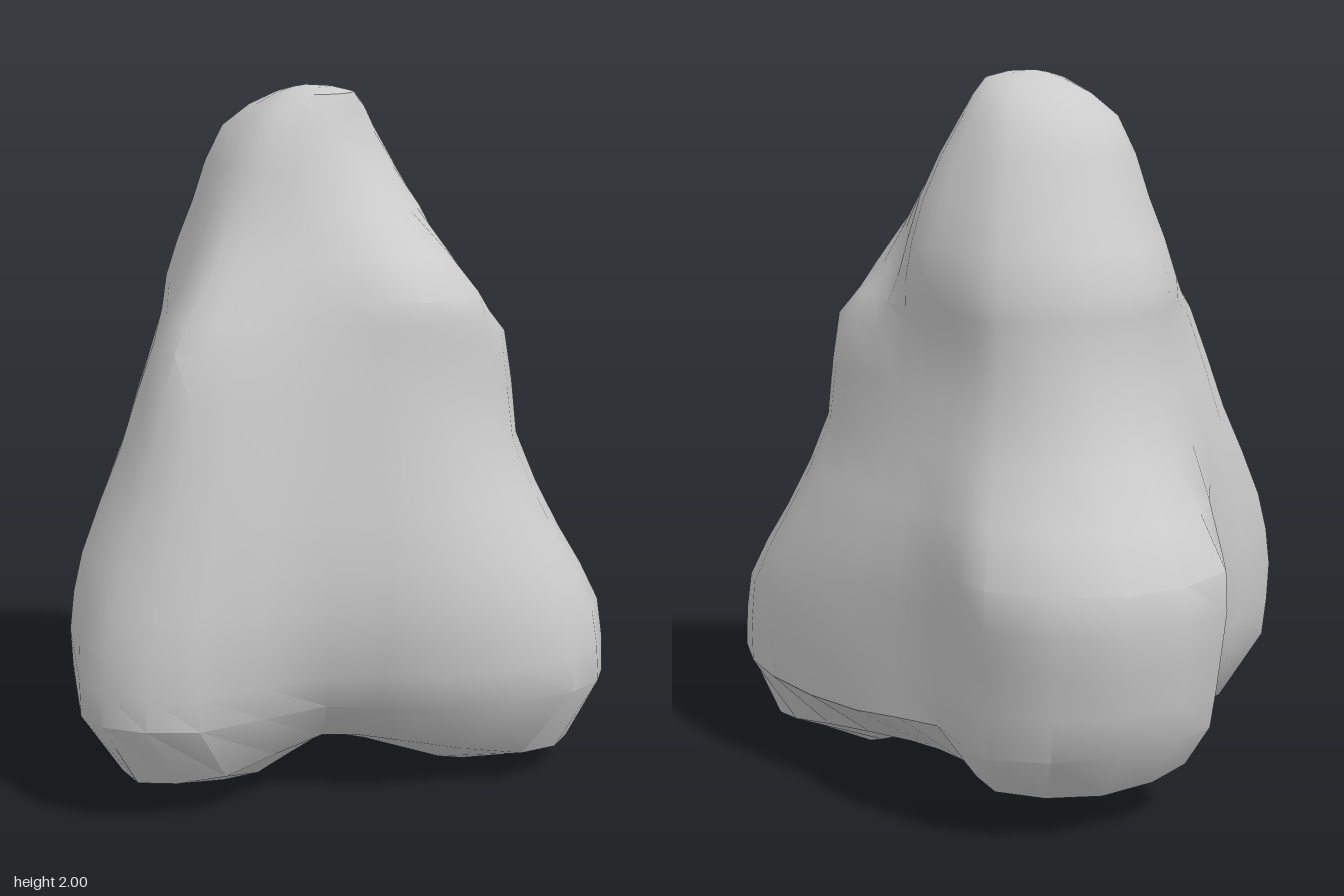
import * as THREE from 'three';
import { toCreasedNormals } from 'three/addons/utils/BufferGeometryUtils.js';

// The boulder is a stack of rings around an upright axis at x = AXIS.
// Directions run from the right valley past the front lobe (42 to 76),
// the left lobe (168 to 205) and the back lobe (272 to 323).
const AXIS = 0.12;
const ANGLES = [-20, 10, 42, 57, 76, 105, 138, 168, 186, 205, 243, 272, 297, 323];
const SIDES = 2 * ANGLES.length;

// Underside, sloping from the rim in to the centre; the front lobe stands on the ground
const underside = [
  { y: [0.12, 0.1, 0.06, 0, 0.04, 0.11, 0.12, 0.06, 0.045, 0.05, 0.09, 0.12, 0.12, 0.12],
    r: [0.25, 0.26, 0.36, 0.48, 0.4, 0.24, 0.2, 0.38, 0.5, 0.42, 0.24, 0.4, 0.42, 0.38] },
  { y: [0.12, 0.12, 0.1, 0.07, 0.09, 0.15, 0.16, 0.12, 0.1, 0.1, 0.12, 0.14, 0.11, 0.11],
    r: [0.42, 0.4, 0.58, 0.76, 0.66, 0.4, 0.3, 0.58, 0.72, 0.62, 0.36, 0.64, 0.66, 0.6] },
];

const body = [
  // rim
  { y: [0.27, 0.25, 0.25, 0.28, 0.3, 0.28, 0.3, 0.3, 0.3, 0.28, 0.27, 0.27, 0.27, 0.25],
    r: [0.57, 0.58, 0.74, 0.86, 0.81, 0.56, 0.45, 0.73, 0.85, 0.76, 0.5, 0.73, 0.8, 0.73] },
  // lobes
  { y: 0.5, r: [0.58, 0.585, 0.74, 0.84, 0.79, 0.61, 0.52, 0.73, 0.83, 0.78, 0.55, 0.77, 0.85, 0.75] },
  { y: 0.72, r: [0.585, 0.56, 0.66, 0.72, 0.7, 0.6, 0.53, 0.68, 0.76, 0.74, 0.55, 0.78, 0.85, 0.76] },
  // waist
  { y: 1.0, r: [0.5, 0.46, 0.53, 0.59, 0.57, 0.54, 0.49, 0.59, 0.66, 0.62, 0.53, 0.58, 0.63, 0.57] },
  { y: 1.3, r: [0.43, 0.4, 0.48, 0.55, 0.53, 0.5, 0.43, 0.48, 0.56, 0.51, 0.45, 0.5, 0.53, 0.5] },
  // shoulder ledge
  { y: 1.44, r: [0.44, 0.4, 0.37, 0.42, 0.5, 0.49, 0.38, 0.4, 0.46, 0.43, 0.44, 0.5, 0.52, 0.49] },
  // peak
  { y: 1.66, r: [0.37, 0.34, 0.29, 0.3, 0.29, 0.27, 0.25, 0.27, 0.31, 0.33, 0.36, 0.39, 0.41, 0.4] },
  { y: 1.88, r: [0.25, 0.21, 0.17, 0.15, 0.14, 0.14, 0.16, 0.19, 0.22, 0.23, 0.27, 0.3, 0.3, 0.28] },
  { y: 1.98, r: ANGLES.map(() => 0.11) },
];

// Closed smooth curve through one ring
function ringCurve({ y, r }) {
  const points = ANGLES.map((angle, k) => {
    const a = THREE.MathUtils.degToRad(angle);
    const height = Array.isArray(y) ? y[k] : y;
    return new THREE.Vector3(AXIS + r[k] * Math.cos(a), height, r[k] * Math.sin(a));
  });
  return new THREE.CatmullRomCurve3(points, true);
}

function boulderGeometry() {
  const underCurves = underside.map(ringCurve);
  const bodyCurves = body.map(ringCurve);
  const bottom = new THREE.Vector3(AXIS, 0.13, 0);
  const top = new THREE.Vector3(0.1, 2, -0.02);
  const position = [], index = [];

  // Upright profiles: straight under the rim, smooth from the rim to the peak
  const perProfile = 1 + underside.length + 2 * body.length + 1;
  for (let i = 0; i < SIDES; i++) {
    const at = curve => curve.getPoint(i / SIDES);
    const flank = new THREE.CatmullRomCurve3([...bodyCurves.map(at), top]);
    for (const p of [bottom, ...underCurves.map(at), ...flank.getPoints(2 * body.length)]) {
      position.push(p.x, Math.max(0, p.y), p.z);
    }
  }

  // Skin between neighbouring profiles, with single triangles at both ends
  const last = perProfile - 2;
  for (let i = 0; i < SIDES; i++) {
    for (let j = 0; j <= last; j++) {
      const a = i * perProfile + j;
      const b = ((i + 1) % SIDES) * perProfile + j;
      if (j < last) index.push(a, a + 1, b + 1);
      if (j > 0) index.push(a, b + 1, b);
    }
  }

  const geometry = new THREE.BufferGeometry();
  geometry.setAttribute('position', new THREE.Float32BufferAttribute(position, 3));
  geometry.setIndex(index);
  return toCreasedNormals(geometry, THREE.MathUtils.degToRad(38));
}

export function createModel() {
  const group = new THREE.Group();
  group.name = 'rock';
  const boulder = new THREE.Mesh(boulderGeometry(), new THREE.MeshStandardMaterial({ color: 0xcccccc }));
  boulder.name = 'boulder';
  group.add(boulder);
  return group;
}
